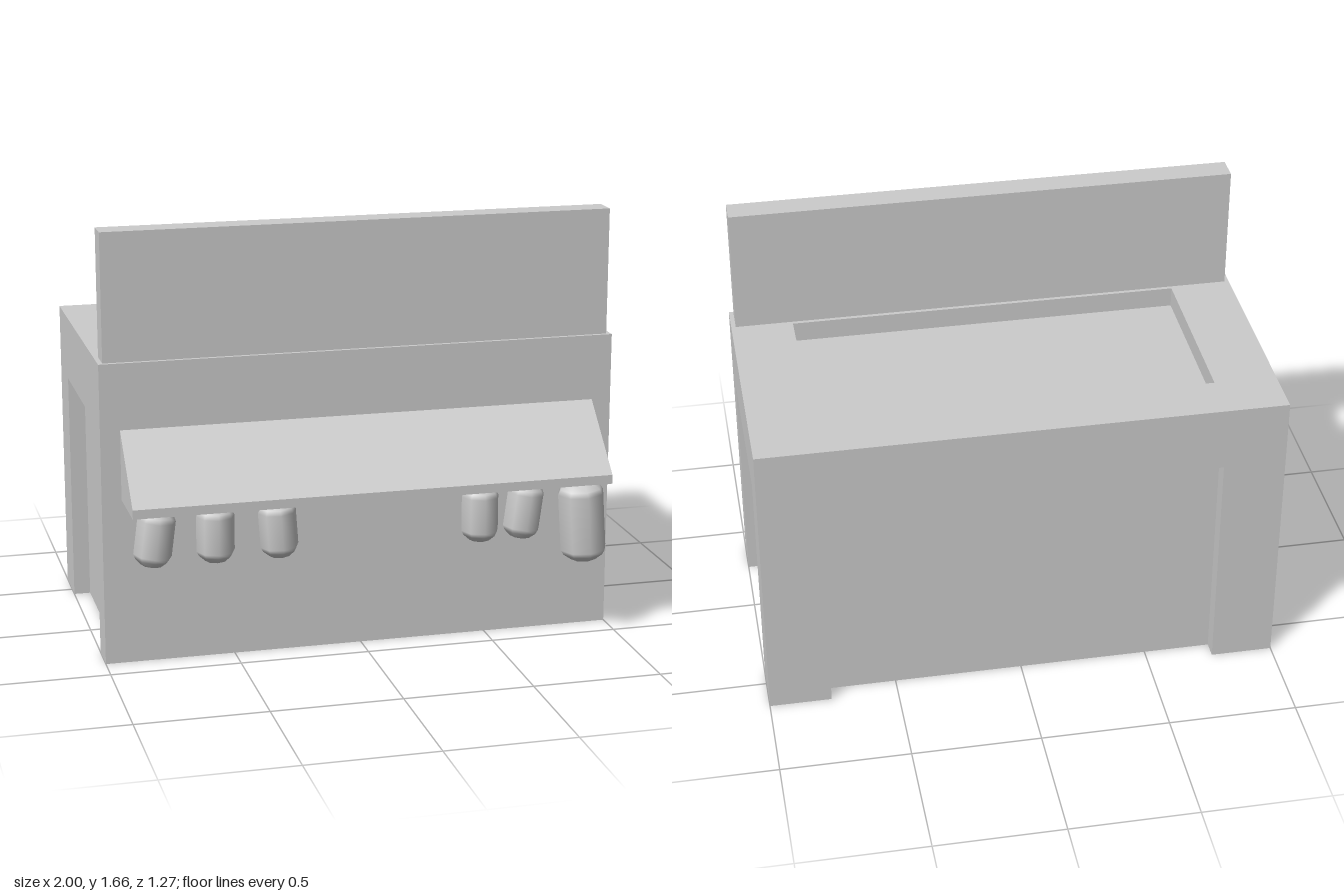
import * as THREE from 'three';

const grey = new THREE.MeshStandardMaterial({ color: 0xcccccc });

function add(parent, name, geometry, x = 0, y = 0, z = 0) {
  const mesh = new THREE.Mesh(geometry, grey);
  mesh.name = name;
  mesh.position.set(x, y, z);
  parent.add(mesh);
  return mesh;
}

const polygon = (points) => points.map(([x, y]) => new THREE.Vector2(x, y));

// Extrudes a plan outline, drawn as (x, -z), upwards
function extrudeUp(shape, height) {
  return new THREE.ExtrudeGeometry(shape, { depth: height, bevelEnabled: false }).rotateX(-Math.PI / 2);
}

// Lantern: eight-sided rounded barrel
function lanternGeometry(radius, height, cap) {
  const h = height / 2;
  const profile = polygon([
    [0, -h], [radius * 0.55, -h + cap * 0.22], [radius * 0.88, -h + cap * 0.65], [radius, -h + cap],
    [radius, h - cap], [radius * 0.88, h - cap * 0.65], [radius * 0.55, h - cap * 0.22], [0, h],
  ]);
  return new THREE.LatheGeometry(profile, 8);
}

export function createModel() {
  const model = new THREE.Group();
  model.name = 'shopBuilding';

  const front = 0.385, back = -0.635;
  const insetFront = 0.255, insetBack = -0.44, insetX = 0.76;
  const depth = 0.065, insetTop = 0.915, floorY = 1.09, roofY = 1.17;

  // Lower walls, recessed on both sides and at the back
  const right = [
    [1, front], [1, insetFront], [1 - depth, insetFront], [1 - depth, insetBack],
    [1, insetBack], [1, back], [insetX, back], [insetX, back + depth],
  ];
  const left = right.map(([x, z]) => [-x, z]).reverse();
  const plan = new THREE.Shape(polygon([...right, ...left].map(([x, z]) => [x, -z])));
  add(model, 'lowerWalls', extrudeUp(plan, insetTop));

  // Upper walls above the recesses
  add(model, 'upperWalls', new THREE.BoxGeometry(2, floorY - insetTop, front - back),
    0, (floorY + insetTop) / 2, (front + back) / 2);

  // Roof rim around the sunken roof
  const rim = new THREE.Shape(polygon([[-1, -front], [1, -front], [1, -back], [-1, -back]]));
  rim.holes.push(new THREE.Path(polygon([
    [-insetX, -insetFront], [-insetX, -insetBack], [insetX, -insetBack], [insetX, -insetFront],
  ])));
  add(model, 'roofRim', extrudeUp(rim, roofY - floorY), 0, floorY, 0);

  // Sign board standing on the front of the roof
  add(model, 'signBoard', new THREE.BoxGeometry(1.965, 0.49, 0.1), 0, roofY + 0.245, 0.32);

  // Awning wedge, drawn as (-z, y) and extruded along x
  const wedge = new THREE.Shape(polygon([
    [-front, 0.915], [-0.635, 0.68], [-0.635, 0.645], [-front, 0.645],
  ]));
  const awning = new THREE.ExtrudeGeometry(wedge, { depth: 1.85, bevelEnabled: false });
  add(model, 'awning', awning.rotateY(Math.PI / 2), -0.925, 0, 0);

  // Lanterns hanging under the awning: x, tilt
  const lanterns = new THREE.Group();
  lanterns.name = 'lanterns';
  model.add(lanterns);
  const small = lanternGeometry(0.073, 0.235, 0.05);
  for (const [x, tilt] of [[-0.825, -0.13], [-0.595, 0], [-0.355, 0.07], [0.437, 0], [0.612, -0.13]]) {
    add(lanterns, 'smallLantern', small, x, 0.53, 0.51).rotation.z = tilt;
  }
  add(lanterns, 'largeLantern', lanternGeometry(0.092, 0.335, 0.055), 0.85, 0.47, 0.515).rotation.z = 0.07;

  return model;
}
